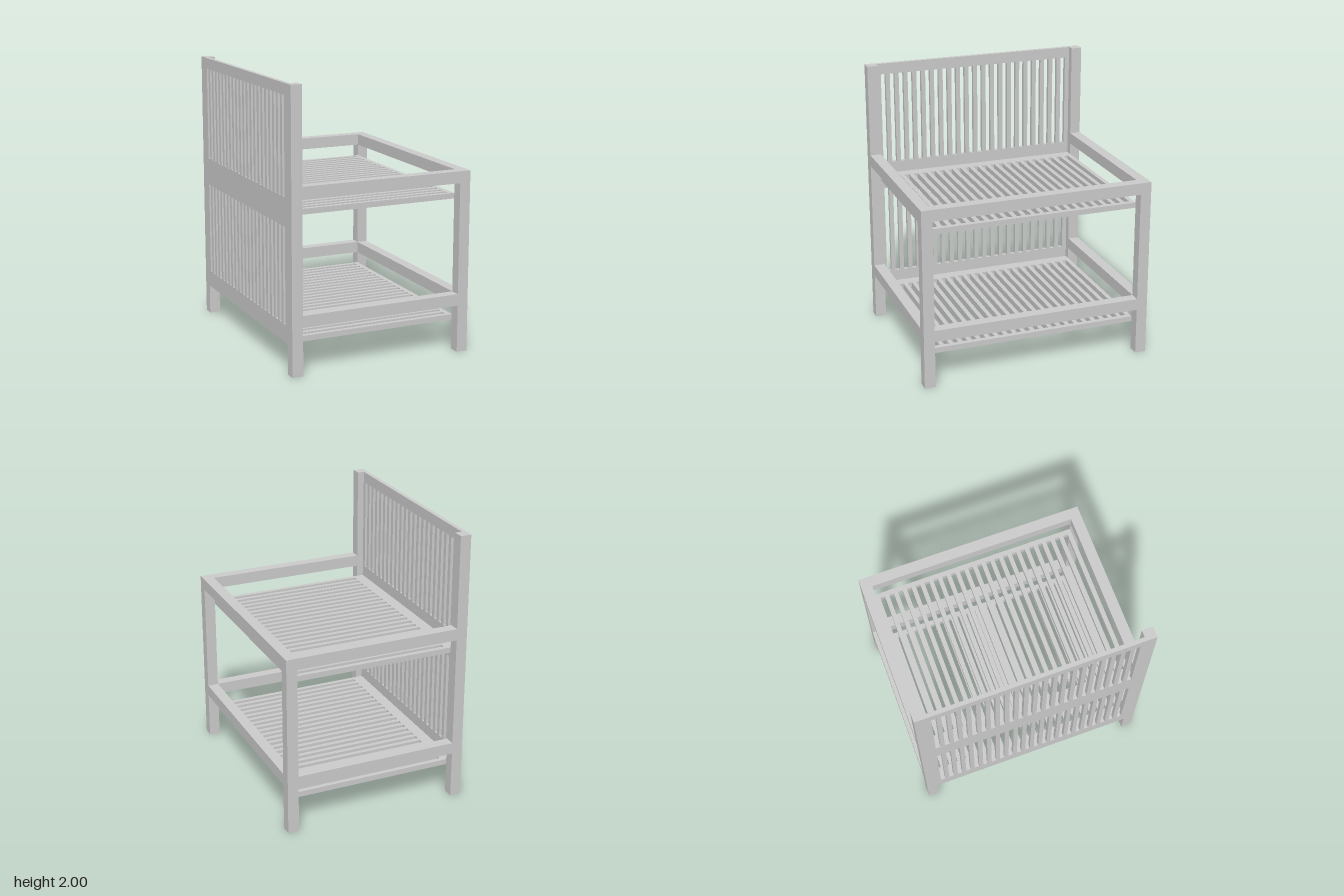
import * as THREE from 'three';

const X = 0.68, Z = 0.85, P = 0.08;          // outer half sizes and post thickness
const XI = X - P, ZI = Z - P;                // inner half sizes
const PANEL = 0.03;                          // back panel thickness
const SLOTS = 22, PITCH = 0.0684, SLOT = 0.036;

export function createModel() {
  const group = new THREE.Group();
  const material = new THREE.MeshStandardMaterial({ color: 0xcccccc, flatShading: true });

  const add = (name, geometry) => {
    const mesh = new THREE.Mesh(geometry, material);
    mesh.name = name;
    group.add(mesh);
    return mesh;
  };

  // box given by its extents along each axis
  const box = (name, x0, x1, y0, y1, z0, z1) =>
    add(name, new THREE.BoxGeometry(x1 - x0, y1 - y0, z1 - z0)
      .translate((x0 + x1) / 2, (y0 + y1) / 2, (z0 + z1) / 2));

  // board in the (u, v) plane with rows of slots; each row is [u0, u1], repeated along v
  const slottedBoard = (u0, u1, rows, depth) => {
    const rect = (path, a0, a1, b0, b1) =>
      path.moveTo(a0, b0).lineTo(a1, b0).lineTo(a1, b1).lineTo(a0, b1).closePath();
    const shape = rect(new THREE.Shape(), u0, u1, -ZI, ZI);
    for (const [a, b] of rows) {
      for (let i = 0; i < SLOTS; i++) {
        const v = (i - (SLOTS - 1) / 2) * PITCH;
        shape.holes.push(rect(new THREE.Path(), a, b, v - SLOT / 2, v + SLOT / 2));
      }
    }
    return new THREE.ExtrudeGeometry(shape, { depth, bevelEnabled: false });
  };

  // corner posts: tall at the back panel, short on the open side
  for (const s of [-1, 1]) {
    const z0 = s > 0 ? ZI : -Z, z1 = s > 0 ? Z : -ZI;
    box('tallPost', -X, -XI, 0, 2, z0, z1);
    box('shortPost', XI, X, 0, 1.32, z0, z1);
  }

  // two identical tiers: guard rails above a slatted shelf
  for (const [tier, y] of [['lower', 0.22], ['upper', 1.11]]) {
    const r0 = y + 0.125, r1 = y + 0.21;
    for (const s of [-1, 1]) {
      box(tier + 'SideRail', -XI, XI, r0, r1, s > 0 ? ZI : -Z, s > 0 ? Z : -ZI);
    }
    box(tier + 'EndRail', XI, X, r0, r1, -ZI, ZI);

    const shelf = slottedBoard(-X + PANEL, XI, [[-0.563, 0.563]], 0.04);
    shelf.rotateX(-Math.PI / 2);
    add(tier + 'Shelf', shelf).position.y = y;
  }

  // upright slatted panel, flush with the outside of the tall posts
  const panel = slottedBoard(0.22, 2, [[0.345, 1.03], [1.235, 1.92]], PANEL);
  // board length -> y, board width -> z, depth -> x
  panel.applyMatrix4(new THREE.Matrix4().makeBasis(
    new THREE.Vector3(0, 1, 0), new THREE.Vector3(0, 0, 1), new THREE.Vector3(1, 0, 0)));
  add('slattedPanel', panel).position.x = -X;

  return group;
}
